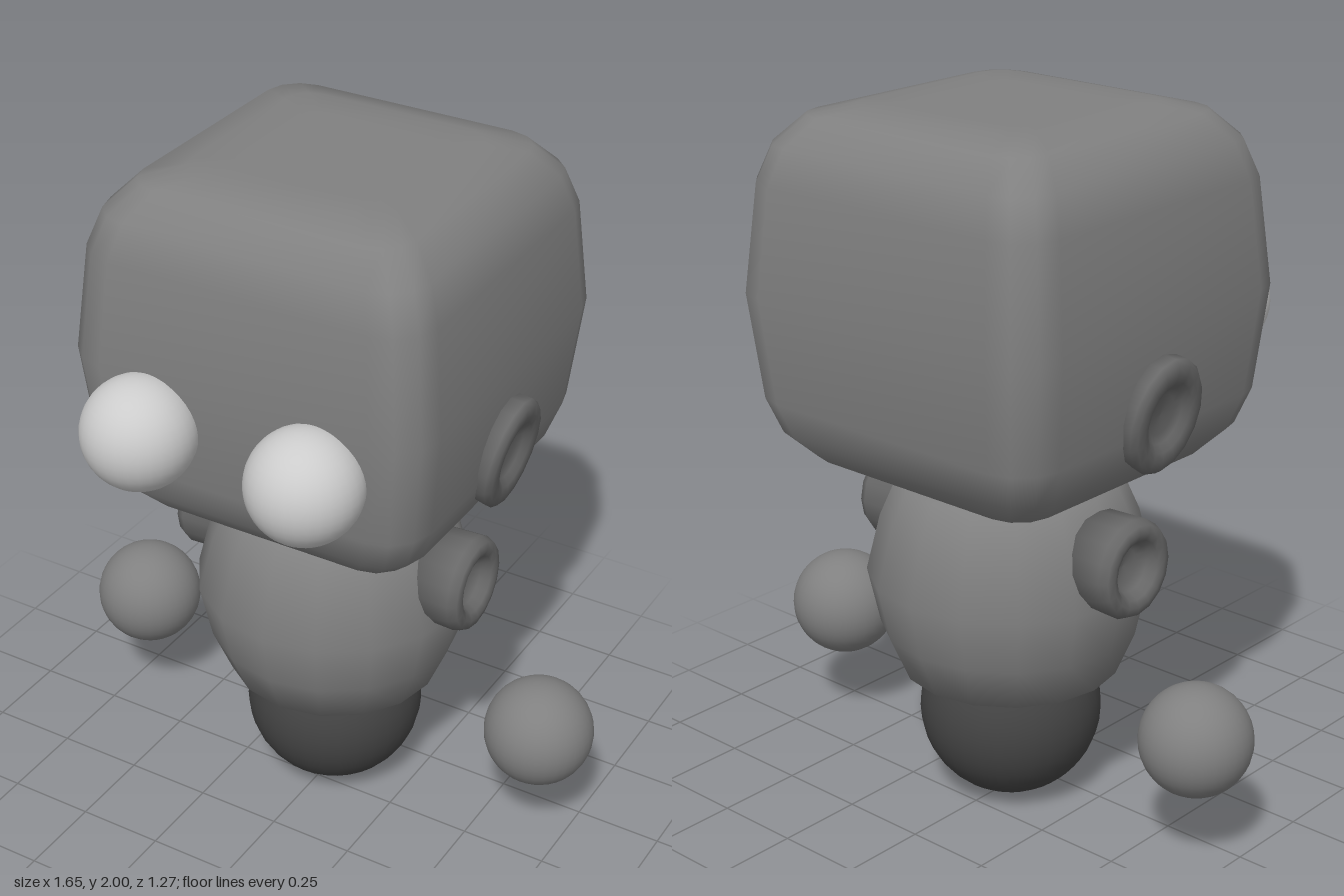
import * as THREE from 'three';

const CZ = -0.1; // depth of the body's axis
const paint = (color) => new THREE.MeshStandardMaterial({ color });
const V = (pairs) => pairs.map(([x, y]) => new THREE.Vector2(x, y));

// Rounded-square rings [halfWidth, y], listed bottom to top and skinned together
function loftRoundedSquare(rings, arcSteps = 3) {
  const pos = [], index = [], n = 4 * (arcSteps + 1);
  for (const [w, y] of rings) {
    const r = w * 0.25;
    for (let q = 0; q < 4; q++) {
      const mid = Math.PI / 4 + q * Math.PI / 2;
      const cx = Math.sign(Math.cos(mid)) * (w - r), cz = Math.sign(Math.sin(mid)) * (w - r);
      for (let k = 0; k <= arcSteps; k++) {
        const a = (q + k / arcSteps) * Math.PI / 2;
        pos.push(cx + r * Math.cos(a), y, cz + r * Math.sin(a));
      }
    }
  }
  for (let i = 0; i < rings.length - 1; i++) {
    for (let j = 0; j < n; j++) {
      const a = i * n + j, b = i * n + (j + 1) % n;
      index.push(a, a + n, b, b, a + n, b + n);
    }
  }
  const g = new THREE.BufferGeometry();
  g.setAttribute('position', new THREE.Float32BufferAttribute(pos, 3));
  g.setIndex(index);
  g.computeVertexNormals();
  return g;
}

export function createModel() {
  const model = new THREE.Group();
  const grey = paint(0x808080), darkGrey = paint(0x686868), black = paint(0x444444), white = paint(0xcccccc);

  const add = (name, geometry, material, x, y, z) => {
    const mesh = new THREE.Mesh(geometry, material);
    mesh.name = name;
    mesh.position.set(x, y, z);
    model.add(mesh);
    return mesh;
  };

  // Soft box head, widest at mid height
  const headRings = [
    [0, 1.01], [0.2, 1.01], [0.3, 1.01], [0.4, 1.035], [0.47, 1.11], [0.505, 1.21],
    [0.535, 1.505],
    [0.505, 1.8], [0.47, 1.9], [0.4, 1.975], [0.3, 2], [0.2, 2], [0, 2],
  ];
  add('head', loftRoundedSquare(headRings), grey, 0, 0, CZ);

  // Barrel body
  const bodyProfile = V([
    [0, 0.375], [0.16, 0.375], [0.31, 0.4], [0.365, 0.53], [0.4, 0.69],
    [0.36, 0.85], [0.31, 0.965], [0.2, 1.01], [0, 1.015],
  ]);
  add('body', new THREE.LatheGeometry(bodyProfile, 16), grey, 0, 0, CZ);

  // Ball the body rolls on
  add('baseBall', new THREE.SphereGeometry(0.258, 32, 20), black, 0, 0.26, CZ);

  // Dished socket shared by the shoulders and ears; its rim lies at y = 0
  const socketProfile = V([
    [0, -0.16], [0.135, -0.16], [0.14, -0.03], [0.128, -0.005], [0.105, 0],
    [0.085, -0.008], [0.068, -0.035], [0.05, -0.055], [0, -0.06],
  ]);
  const socket = new THREE.LatheGeometry(socketProfile, 16);
  const ball = new THREE.SphereGeometry(0.156, 32, 20);

  for (const s of [1, -1]) {
    const side = s > 0 ? 'left' : 'right';
    add(side + 'Eye', ball, white, s * 0.25, 1.38, 0.48);
    add(side + 'Hand', ball, grey, s * 0.667, 0.377, CZ - 0.005);

    const shoulder = add(side + 'Shoulder', socket, darkGrey, s * 0.463, 0.803, CZ);
    shoulder.rotation.z = -s * Math.PI / 2;

    // Ears are taller and tip slightly downward
    const ear = add(side + 'Ear', socket, darkGrey, s * 0.555, 1.255, CZ);
    ear.rotation.z = -s * (Math.PI / 2 + 0.18);
    ear.scale.set(1.18, 0.6, 1);
  }
  return model;
}
